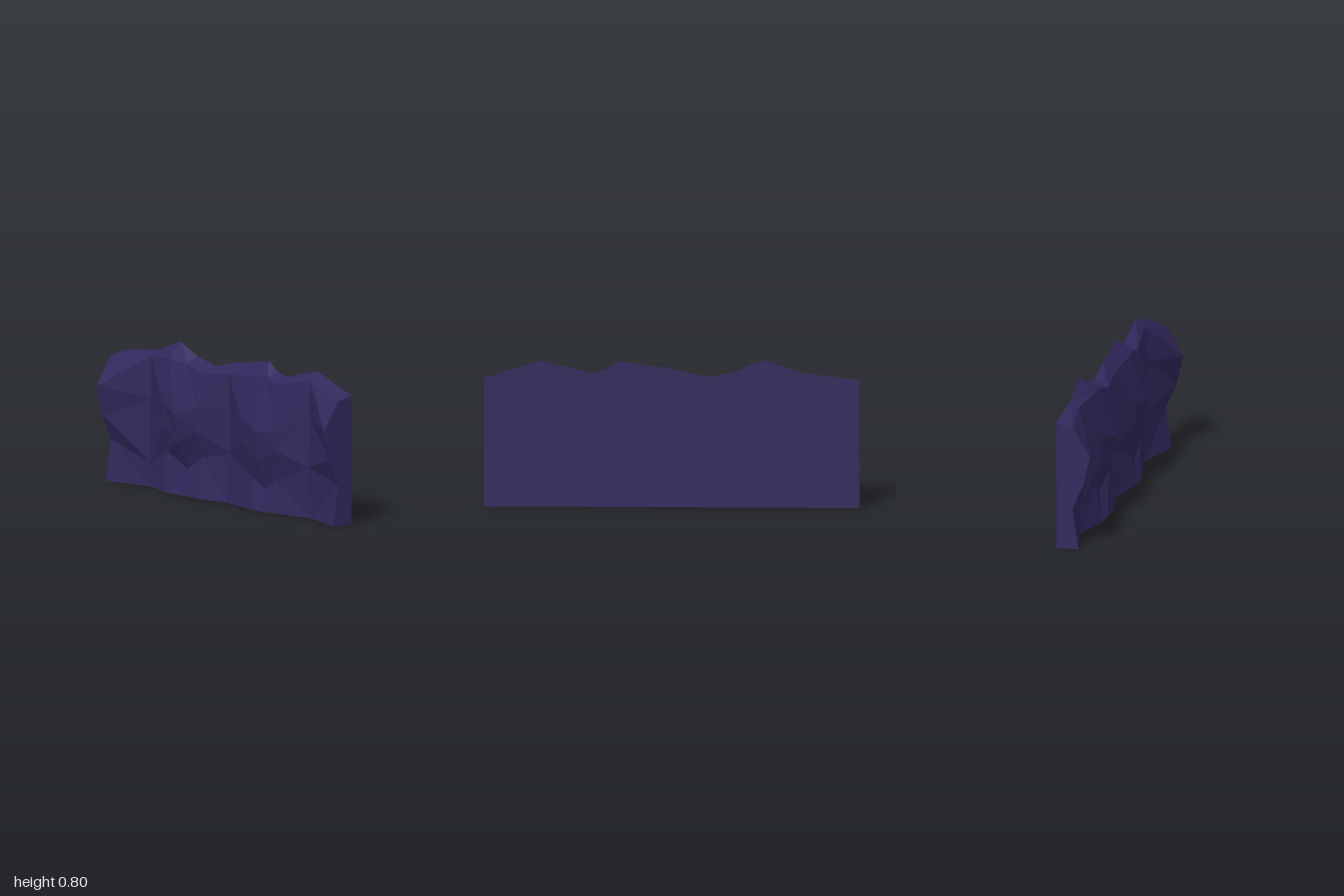
import * as THREE from 'three';

const BACK = -0.09;

// A column of the rock face: rows run foot, undercut, belly, brow, crest, back rim.
function column(xs, profile, valley = false) {
  const points = profile.map(([y, z], i) =>
    new THREE.Vector3(Array.isArray(xs) ? xs[i] : xs, y, z));
  return { points, valley };
}

// Both ends share one profile so that segments tile.
const end = (x) => column(x, [[0, 0.03], [0.22, -0.003], [0.36, 0.058], [0.515, 0.093], [0.67, 0], [0.695, BACK]]);

// Valleys run straight from undercut to crest.
function valley(x, footZ, low, crest, rim) {
  const at = (t) => [THREE.MathUtils.lerp(low[0], crest[0], t), THREE.MathUtils.lerp(low[1], crest[1], t)];
  return column(x, [[0, footZ], low, at(0.33), at(0.6), crest, [rim, BACK]], true);
}

function rockFaceGeometry(columns) {
  const pos = [];
  const tri = (...vs) => vs.forEach((v) => pos.push(v.x, v.y, v.z));
  const behind = (v) => new THREE.Vector3(v.x, v.y, BACK);

  for (let i = 0; i < columns.length - 1; i++) {
    const L = columns[i], R = columns[i + 1];
    for (let j = 0; j < 5; j++) {
      const a = L.points[j], b = R.points[j], c = R.points[j + 1], d = L.points[j + 1];
      // creases fan out from the valleys
      const rising = j < 2 ? !R.valley : R.valley;
      if (rising) { tri(a, b, c); tri(a, c, d); }
      else { tri(a, b, d); tri(b, c, d); }
    }
    // underside and flat back
    const a = L.points[0], b = R.points[0], ba = behind(a), bb = behind(b);
    tri(a, ba, bb); tri(a, bb, b);
    tri(bb, ba, L.points[5]); tri(bb, L.points[5], R.points[5]);
  }

  // end caps
  [[columns[0], true], [columns[columns.length - 1], false]].forEach(([col, left]) => {
    for (let j = 0; j < 5; j++) {
      const a = col.points[j], d = col.points[j + 1], ba = behind(a), bd = behind(d);
      if (left) { tri(a, bd, ba); tri(a, d, bd); }
      else { tri(a, ba, bd); tri(a, bd, d); }
    }
  });

  const g = new THREE.BufferGeometry();
  g.setAttribute('position', new THREE.Float32BufferAttribute(pos, 3));
  g.computeVertexNormals();
  return g;
}

export function createModel() {
  const group = new THREE.Group();
  group.name = 'cliffWall';

  const rock = new THREE.MeshStandardMaterial({ color: 0x32275c, flatShading: true });
  rock.name = 'dark purple rock';

  const columns = [
    end(-1),
    valley(-0.7, -0.035, [0.13, -0.04], [0.705, -0.042], 0.73),
    // right bulge
    column(-0.5, [[0, 0.02], [0.22, 0], [0.36, 0.03], [0.49, 0.035], [0.715, -0.01], [0.8, BACK]]),
    column(-0.35, [[0, 0.025], [0.14, -0.02], [0.29, 0.045], [0.44, 0.068], [0.705, -0.02], [0.74, BACK]]),
    column(-0.2, [[0, 0.025], [0.22, -0.01], [0.36, 0.03], [0.49, 0.035], [0.67, -0.01], [0.705, BACK]]),
    valley(0, -0.02, [0.26, -0.04], [0.69, -0.03], 0.75),
    // left bulge
    column([0.28, 0.25, 0.2, 0.2, 0.28, 0.28],
      [[0, 0.026], [0.17, 0], [0.36, 0.03], [0.49, 0.04], [0.715, -0.015], [0.79, BACK]]),
    column(0.35, [[0, 0.025], [0.12, -0.01], [0.27, 0.04], [0.43, 0.06], [0.72, -0.02], [0.745, BACK]]),
    column([0.42, 0.45, 0.5, 0.5, 0.42, 0.42],
      [[0, 0.016], [0.18, -0.005], [0.34, 0.03], [0.45, 0.037], [0.695, -0.01], [0.725, BACK]]),
    valley(0.7, -0.045, [0.275, -0.03], [0.74, -0.045], 0.79),
    end(1),
  ];

  const mesh = new THREE.Mesh(rockFaceGeometry(columns), rock);
  mesh.name = 'rockFace';
  group.add(mesh);
  return group;
}
